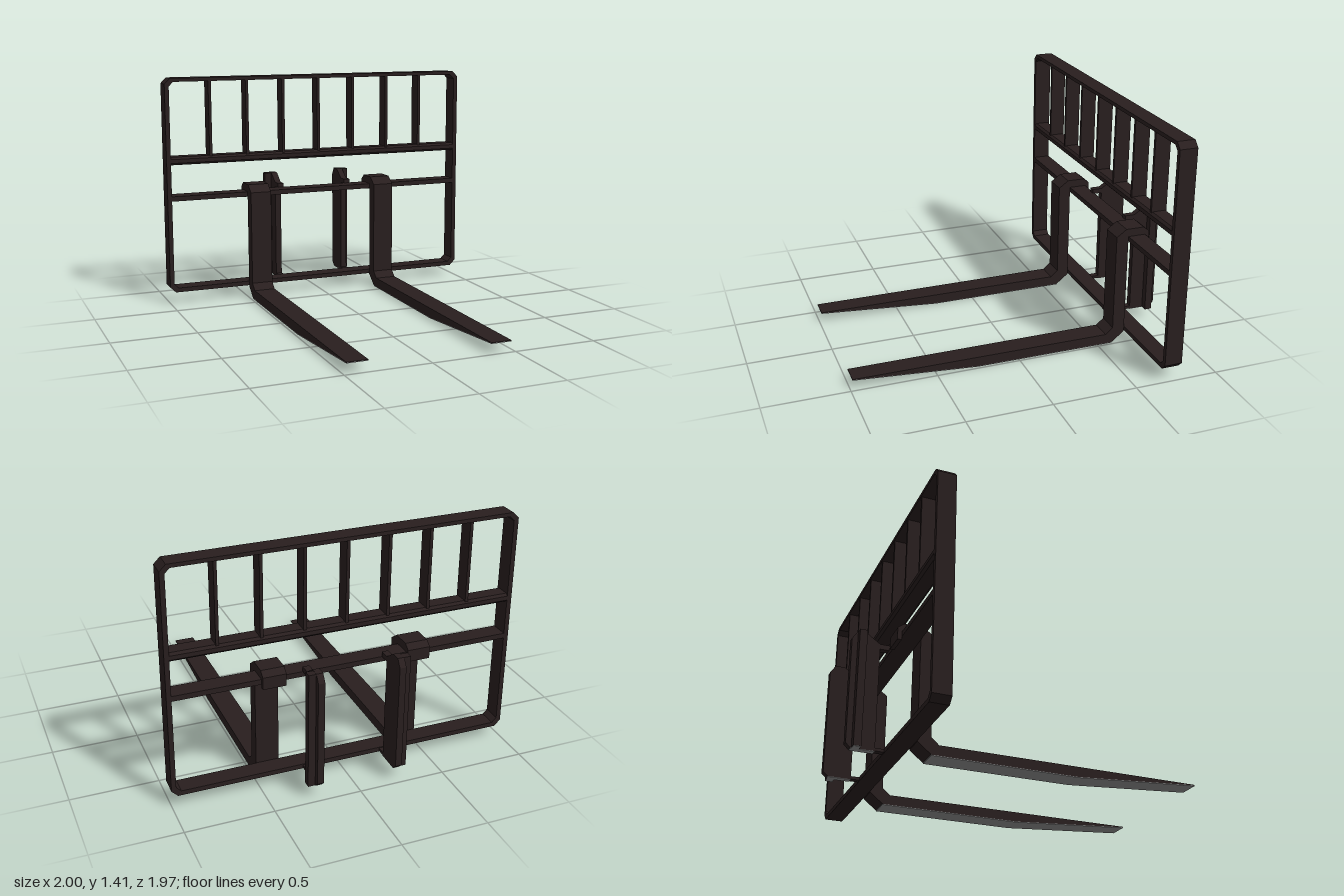
import * as THREE from 'three';

const paint = new THREE.MeshStandardMaterial({ color: 0x281e1e });
paint.name = 'dark brown paint';
const steel = new THREE.MeshStandardMaterial({ color: 0x8c8c8c });
steel.name = 'worn grey steel';

const FRONT = -0.67, BACK = -0.775, MID = (FRONT + BACK) / 2;

const toPath = (pts, Kind = THREE.Shape) => new Kind(pts.map(([a, b]) => new THREE.Vector2(a, b)));

// Extrudes a [z, y] side profile along x, centred on x
function sideProfile(pts, width, x) {
  const geo = new THREE.ExtrudeGeometry(toPath(pts), { depth: width, bevelEnabled: false });
  geo.translate(0, 0, -width / 2);
  geo.rotateY(-Math.PI / 2);
  geo.translate(x, 0, 0);
  return geo;
}

function add(parent, name, geo, mat = paint) {
  const mesh = new THREE.Mesh(geo, mat);
  mesh.name = name;
  parent.add(mesh);
}

function box(parent, name, x0, x1, y0, y1, z0, z1, mat = paint) {
  const geo = new THREE.BoxGeometry(x1 - x0, y1 - y0, Math.abs(z1 - z0));
  geo.translate((x0 + x1) / 2, (y0 + y1) / 2, (z0 + z1) / 2);
  add(parent, name, geo, mat);
}

// Rectangle with cut corners
const cutRect = (x, y0, y1, c) => [
  [-x + c, y0], [x - c, y0], [x, y0 + c], [x, y1 - c],
  [x - c, y1], [-x + c, y1], [-x, y1 - c], [-x, y0 + c],
];

// Narrows a fork slightly toward its tip
function taper(geo) {
  const p = geo.attributes.position;
  for (let i = 0; i < p.count; i++) {
    const t = THREE.MathUtils.clamp((p.getZ(i) + 0.6) / 1.585, 0, 1);
    p.setX(i, p.getX(i) * (1 - 0.07 * t));
  }
  geo.computeVertexNormals();
  return geo;
}

export function createModel() {
  const model = new THREE.Group();
  model.name = 'palletForkAttachment';

  // Outer frame
  const outline = toPath(cutRect(1, 0.07, 1.41, 0.035));
  outline.holes.push(toPath(cutRect(0.973, 0.097, 1.388, 0.027), THREE.Path));
  const frame = new THREE.ExtrudeGeometry(outline, { depth: FRONT - BACK, bevelEnabled: false });
  frame.translate(0, 0, BACK);
  add(model, 'outerFrame', frame);

  // Cross bars
  add(model, 'guardRail', sideProfile([
    [FRONT, 0.888], [FRONT, 0.912], [FRONT - 0.014, 0.925], [BACK + 0.014, 0.925],
    [BACK, 0.912], [BACK, 0.888], [BACK + 0.014, 0.875], [FRONT - 0.014, 0.875],
  ], 1.95, 0));
  box(model, 'forkRail', -0.975, 0.975, 0.65, 0.68, BACK, FRONT);

  // Upright guard bars
  for (let i = -3; i <= 3; i++) {
    const x = i * 0.239;
    box(model, 'guardBar', x - 0.009, x + 0.009, 0.92, 1.392, MID - 0.046, MID + 0.046);
  }

  for (const side of [-1, 1]) {
    // Fork with bent heel and a hook over the rail
    const fork = new THREE.Group();
    fork.name = side > 0 ? 'leftFork' : 'rightFork';
    fork.position.x = side * 0.421;
    add(fork, 'forkBody', taper(sideProfile([
      [0.985, 0.059], [0.985, 0.062], [-0.55, 0.062], [-0.595, 0.1], [-0.595, 0.685],
      [-0.655, 0.728], [-0.765, 0.728], [-0.8, 0.7], [-0.8, 0.63], [-0.776, 0.63],
      [-0.776, 0.681], [-0.669, 0.681], [-0.669, 0.065], [-0.592, 0.004], [0.25, 0.004],
    ], 0.132, 0)));
    add(fork, 'forkUnderside', taper(sideProfile([
      [0.985, 0.055], [0.985, 0.059], [0.25, 0.004], [-0.592, 0.004], [-0.592, 0], [0.25, 0],
    ], 0.132, 0)), steel);
    model.add(fork);

    // Rear mounting bracket: plate, side flange, bare undersides and links to the frame
    const bracket = new THREE.Group();
    bracket.name = side > 0 ? 'leftBracket' : 'rightBracket';
    add(bracket, 'bracketPlate', sideProfile([
      [-0.825, 0.074], [-0.825, 0.705], [-0.9, 0.757], [-0.955, 0.757],
      [-0.985, 0.712], [-0.985, 0.098], [-0.958, 0.074],
    ], 0.038, side * 0.232));
    add(bracket, 'bracketFlange', sideProfile([
      [-0.91, 0.074], [-0.91, 0.755], [-0.953, 0.755], [-0.953, 0.074],
    ], 0.042, side * 0.271));
    const [x0, x1] = side > 0 ? [0.213, 0.251] : [-0.251, -0.213];
    box(bracket, 'plateUnderside', x0, x1, 0.071, 0.074, -0.957, -0.826, steel);
    box(bracket, 'flangeUnderside', side * 0.271 - 0.02, side * 0.271 + 0.02, 0.071, 0.074, -0.952, -0.911, steel);
    box(bracket, 'upperLink', x0, x1, 0.675, 0.705, -0.83, BACK + 0.01);
    box(bracket, 'lowerLink', x0, x1, 0.075, 0.092, -0.83, BACK + 0.01);
    model.add(bracket);
  }

  return model;
}
